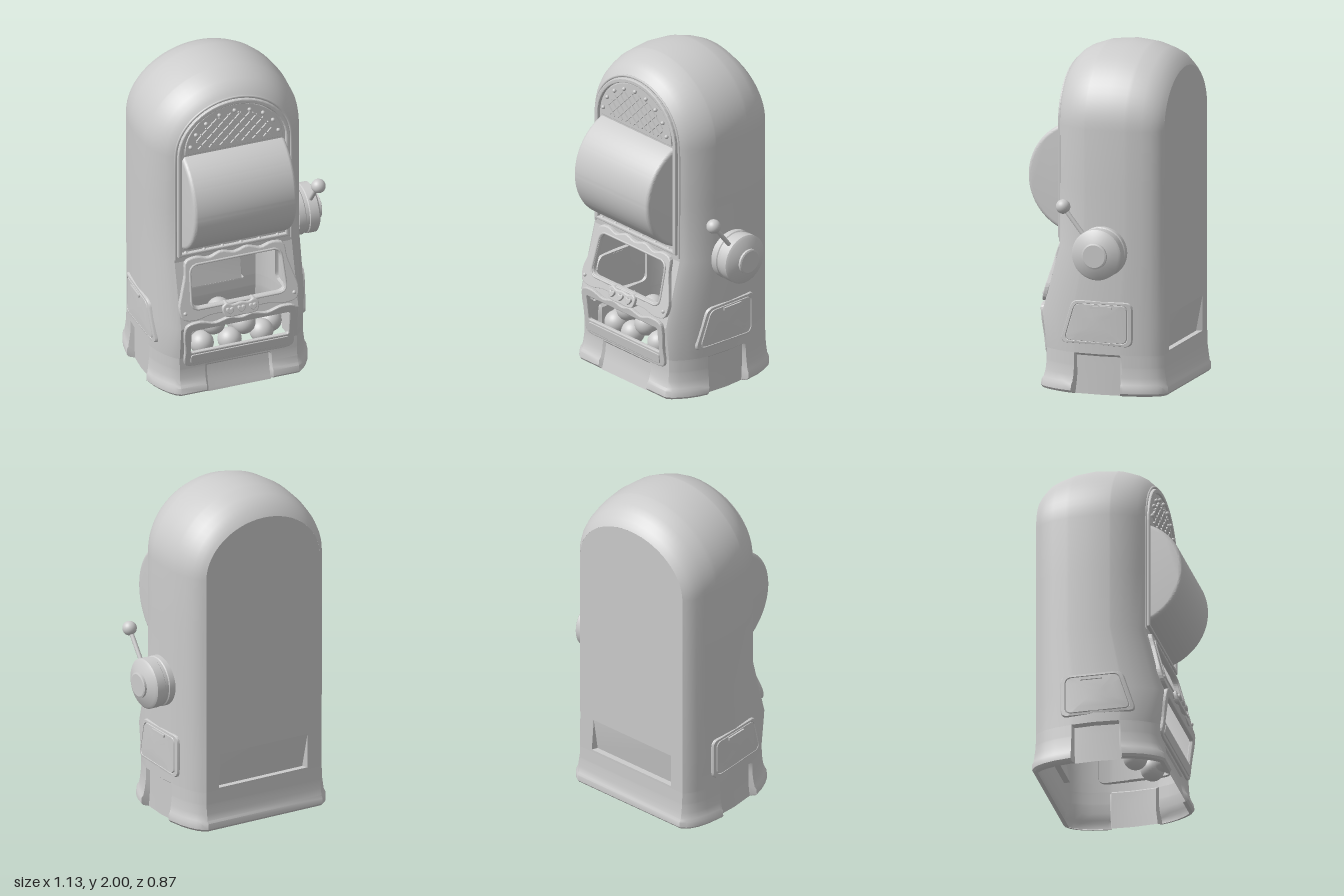
import * as THREE from 'three';
import { toCreasedNormals } from 'three/addons/utils/BufferGeometryUtils.js';

const CX = -0.067, ZB = -0.41, SPRING = 1.55;

// piecewise linear lookup
function lerpTable(table, t) {
  if (t <= table[0][0]) return table[0][1];
  for (let i = 1; i < table.length; i++) {
    const [a, va] = table[i - 1], [b, vb] = table[i];
    if (t <= b) return va + (vb - va) * (t - a) / (b - a);
  }
  return table[table.length - 1][1];
}
// half width and crown height of the cabinet from back (0) to front (1)
const WIDTH = [[0, .385], [.02, .4], [.05, .418], [.1, .437], [.18, .456], [.3, .47], [.32, .472], [.335, .473], [.5, .48],
  [.705, .47], [.72, .468], [.8, .453], [.875, .43], [.94, .402], [.98, .378], [1, .36]];
const CROWN = [[0, 1.86], [.02, 1.88], [.1, 1.935], [.25, 1.98], [.48, 2], [.72, 1.985], [.875, 1.95], [.95, 1.92], [1, 1.88]];
const FRONT = [[0, .325], [.1, .308], [.24, .31], [.45, .335], [.84, .23]];
const wall = s => lerpTable(WIDTH, s);
const zFront = y => lerpTable(FRONT, y);
const zAt = (s, y) => ZB + s * (zFront(y) - ZB);
const zSlope = y => .335 - (y - .45) * .269;
const zTray = y => .31 + (y - .24) * .119;

// surface through a grid of points
function grid(nu, nv, fn) {
  const pos = [], idx = [];
  for (let i = 0; i < nu; i++) for (let j = 0; j < nv; j++) pos.push(...fn(i, j));
  for (let i = 0; i < nu - 1; i++) for (let j = 0; j < nv - 1; j++) {
    const a = i * nv + j, b = a + nv;
    idx.push(a, b, a + 1, b, b + 1, a + 1);
  }
  const g = new THREE.BufferGeometry();
  g.setAttribute('position', new THREE.Float32BufferAttribute(pos, 3));
  g.setIndex(idx);
  return toCreasedNormals(g, .6);
}
// polygon with rounded corners
function rounded(pts, r) {
  const v = pts.map(p => new THREE.Vector2(...p)), n = v.length, s = new THREE.Shape();
  v.forEach((p, i) => {
    const toward = q => p.clone().add(q.clone().sub(p).setLength(r));
    const a = toward(v[(i + n - 1) % n]), b = toward(v[(i + 1) % n]);
    i ? s.lineTo(a.x, a.y) : s.moveTo(a.x, a.y);
    s.quadraticCurveTo(p.x, p.y, b.x, b.y);
  });
  s.closePath();
  return s;
}
const rect = (w, y0, y1, r) => rounded([[-w, y0], [w, y0], [w, y1], [-w, y1]], r);
// outline mirrored about x = 0 and smoothed
function wavy(half) {
  const pts = [...half, ...half.slice(1, -1).reverse().map(([x, y]) => [-x, y])];
  const c = new THREE.CatmullRomCurve3(pts.map(([x, y]) => new THREE.Vector3(x, y, 0)), true);
  return new THREE.Shape(c.getPoints(80).slice(0, -1).map(p => new THREE.Vector2(p.x, p.y)));
}
function archShape(w, ry, y0, spring = SPRING) {
  const s = new THREE.Shape();
  s.moveTo(-w, y0).lineTo(w, y0).lineTo(w, spring);
  for (let i = 1; i <= 24; i++) s.lineTo(w * Math.cos(Math.PI * i / 24), spring + ry * Math.sin(Math.PI * i / 24));
  s.closePath();
  return s;
}
function lean(g, zFn) {
  const p = g.attributes.position;
  for (let i = 0; i < p.count; i++) p.setZ(i, p.getZ(i) + zFn(p.getY(i)));
  g.computeVertexNormals();
  return g;
}
function plate(shape, depth, bevel = .006) {
  return new THREE.ExtrudeGeometry(shape, { depth: depth - bevel, bevelThickness: bevel, bevelSize: bevel,
    bevelOffset: -bevel, bevelSegments: 2, bevelEnabled: bevel > 0, curveSegments: 8 });
}
const withHole = (shape, ...holes) => { shape.holes.push(...holes); return shape; };

export function createModel() {
  const grey = new THREE.MeshStandardMaterial({ color: 0xcccccc, side: THREE.DoubleSide });
  grey.name = 'light grey';
  const model = new THREE.Group(), body = new THREE.Group();
  body.position.x = CX;
  model.add(body);
  const add = (name, geo, x = 0, y = 0, z = 0) => {
    const m = new THREE.Mesh(geo, grey);
    m.name = name;
    m.position.set(x, y, z);
    body.add(m);
    return m;
  };

  // cabinet skin: up one side, over the arch, down the other
  const path = [.24, .45, .84, 1.2].map(y => [1, y]);
  for (let i = 0; i <= 32; i++) path.push([Math.cos(Math.PI * i / 32), null, Math.sin(Math.PI * i / 32)]);
  path.push(...[1.2, .84, .45, .24].map(y => [-1, y]));
  add('cabinetSkin', grid(path.length, WIDTH.length, (i, j) => {
    const [c, y0, k] = path[i], s = WIDTH[j][0];
    const y = y0 ?? SPRING + (lerpTable(CROWN, s) - SPRING) * k;
    return [c * wall(s), y, zAt(s, y)];
  }));

  // skirt with flared foot and notches at the front and sides
  const loop = [];
  const side = WIDTH.map(([s, w]) => [w, s, s > .33 && s < .71 ? 'side' : '']);
  loop.push(...side);
  [[.205, ''], [.19, 'front'], [-.19, 'front'], [-.205, '']].forEach(([x, k]) => loop.push([x, 1, k]));
  loop.push(...side.slice().reverse().map(([x, s, k]) => [-x, s, k]));
  const flare = { '': [[0, -.01], [.006, .012], [.02, .024], [.055, .024], [.07, .015], [.15, .003], [.24, 0]],
    side: [[0, -.02], [.225, -.02], [.24, 0]], front: [[0, .008], [.16, -.008], [.17, 0]] };
  const rows = [.24, .225, .17, .16, .11, .07, .055, .02, .006, 0];
  add('skirt', grid(rows.length, loop.length + 1, (i, j) => {
    const n = loop.length, y = rows[i], [x, s, k] = loop[j % n];
    const a = loop[(j + n - 1) % n], b = loop[(j + 1) % n];
    const d = new THREE.Vector2(zAt(b[1], y) - zAt(a[1], y), a[0] - b[0]).normalize();
    const o = lerpTable(flare[k], y);
    return [x + d.x * o, y, zAt(s, y) + d.y * o];
  }));

  // back wall with a sloping pocket
  const B = { w: .3, y0: .14, y1: .46, d: .035 };
  const back = withHole(archShape(.385, .31, .24), rect(B.w, .25, B.y1, .001));
  add('backWall', new THREE.ShapeGeometry(back), 0, 0, ZB);
  add('pocketSlope', grid(2, 4, (i, j) => {
    const x = [-B.w, -B.w + .015, B.w - .015, B.w][j], deep = j % 3 ? B.d : 0;
    return [x, i ? B.y1 : .25, ZB + (i ? 0 : deep)];
  }));
  add('pocketLedge', new THREE.BoxGeometry(B.w * 2, .008, B.d), 0, .25, ZB + B.d / 2);

  // front wall in four leaning sections
  const windowHole = () => rounded([[-.285, .57], [.285, .57], [.272, .815], [-.272, .815]], .05);
  const trayHole = () => rect(.3, .28, .435, .012);
  add('lowerFront', lean(new THREE.ShapeGeometry(withHole(rect(.36, .24, .45, .0005), trayHole())), zTray));
  add('slopingFront', lean(new THREE.ShapeGeometry(withHole(rect(.36, .45, .84, .0005), windowHole())), zSlope));
  add('upperFront', new THREE.ShapeGeometry(archShape(.36, .33, .84)), 0, 0, .23);

  // arched trim and grille
  add('archTrim', plate(withHole(archShape(.345, .315, .88), archShape(.32, .287, .9)), .022), 0, 0, .228);
  const rim = [[-.355, .86]];
  for (let i = 0; i <= 16; i++) rim.push([-.355 * Math.cos(Math.PI * i / 16), SPRING + .325 * Math.sin(Math.PI * i / 16)]);
  rim.push([.355, .86]);
  const rimCurve = new THREE.CatmullRomCurve3(rim.map(([x, y]) => new THREE.Vector3(x, y, .23)));
  add('archBead', new THREE.TubeGeometry(rimCurve, 80, .008, 6));
  add('grillePlate', plate(archShape(.3, .265, 1.555, 1.57), .012, .003), 0, 0, .228);
  const inside = (x, y) => y > 1.58 && (x / .245) ** 2 + ((y - 1.57) / .215) ** 2 < 1;
  for (const dir of [1, -1]) for (let c = -.4; c <= .41; c += .067) {
    const hits = [];
    for (let t = 0; t <= .25; t += .004) if (inside(c + dir * (t - .1), 1.57 + t)) hits.push(t);
    if (hits.length < 5) continue;
    const t0 = hits[0], t1 = hits[hits.length - 1], m = (t0 + t1) / 2;
    const bar = add('grilleBar', new THREE.BoxGeometry(.007, (t1 - t0) * Math.SQRT2, .01), c + dir * (m - .1), 1.57 + m, .245);
    bar.rotation.z = -dir * Math.PI / 4;
  }
  const rivet = new THREE.SphereGeometry(.012, 12, 8);
  for (let i = 0; i < 9; i++) {
    const a = Math.PI * (.06 + .88 * i / 8);
    add('grilleRivet', rivet, .275 * Math.cos(a), 1.565 + .235 * Math.sin(a), .25);
  }
  for (let i = 0; i < 6; i++) add('lowerRivet', rivet, -.295 + i * .113, .895, .235);

  // bulging drum
  const drum = new THREE.Shape();
  drum.absarc(0, 0, .334, -1.19, 1.19, false);
  drum.closePath();
  const drumGeo = new THREE.ExtrudeGeometry(drum, { depth: .59, bevelThickness: .022, bevelSize: .022,
    bevelOffset: -.022, bevelSegments: 5, curveSegments: 40 });
  drumGeo.translate(0, 0, -.295).rotateY(-Math.PI / 2);
  add('drum', toCreasedNormals(drumGeo, .5), 0, 1.23, .106);

  // window frame with wavy outline
  const frame = wavy([[0, .85], [.08, .868], [.16, .845], [.23, .862], [.3, .845], [.315, .76], [.345, .66],
    [.366, .58], [.35, .515], [.27, .498], [.17, .515], [0, .505]]);
  add('windowFrame', lean(plate(withHole(frame, windowHole()), .025), zSlope));
  const lip = windowHole().getPoints(8).map(p => new THREE.Vector3(p.x * 1.03, .693 + (p.y - .693) * 1.06, 0));
  lip.forEach(p => { p.z = zSlope(p.y) + .026; });
  add('windowLip', new THREE.TubeGeometry(new THREE.CatmullRomCurve3(lip.slice(0, -1), true, 'catmullrom', .2), 100, .007, 6, true));
  for (const x of [-.335, .335]) add('frameScrew', rivet, x, .55, zSlope(.55) + .025);

  // button plate with three hearts
  const buttons = wavy([[0, .565], [.05, .56], [.085, .572], [.11, .55], [.1, .5], [.06, .49], [0, .492]]);
  add('buttonPlate', lean(plate(buttons, .045), zSlope));
  const heart = new THREE.Shape();
  heart.moveTo(0, -.02).bezierCurveTo(-.04, .005, -.02, .034, 0, .014).bezierCurveTo(.02, .034, .04, .005, 0, -.02);
  for (const x of [-.07, 0, .07]) add('heartButton', plate(heart, .02, .004), x, .528, zSlope(.528) + .04).rotation.x = -.26;

  // prize tray frame
  const tray = wavy([[0, .47], [.07, .485], [.16, .465], [.25, .49], [.33, .475], [.345, .42], [.335, .3], [.335, .21],
    [.31, .188], [.15, .186], [0, .186]]);
  add('trayFrame', lean(plate(withHole(tray, trayHole()), .02), zTray));
  add('trayPanel', lean(plate(rect(.3, .205, .265, .015), .008, .003), y => zTray(y) + .018));

  // balls
  const ball = new THREE.SphereGeometry(.07, 28, 18);
  [[-.178, .37, .2], [0, .345, .22], [-.257, .265, .22], [-.093, .265, .24], [.11, .265, .22], [.2, .26, .12],
    [-.32, .25, .1], [-.098, .375, .08], [-.18, .27, .04], [.03, .26, .06]]
    .forEach(([x, y, z]) => add('ball', ball, x - CX, y, z));

  // side hatches that follow the wall
  const hatch = rounded([[.2, .295], [-.245, .29], [-.245, .55], [.12, .55]], .045).getPoints(8);
  const steps = [[0, .014], [.3, .014], [.6, .014], [.84, .014], [.86, .008], [.88, .014], [.975, .014], [1, .006], [1, -.02]];
  for (const m of [1, -1]) {
    add('sideHatch', grid(steps.length, hatch.length, (i, j) => {
      const [r, o] = steps[i], z = -.03 + r * (hatch[j].x + .03), y = .42 + r * (hatch[j].y - .42);
      return [m * (wall((z - ZB) / (zFront(y) - ZB)) + o), y, z];
    }));
    add('hatchHandle', new THREE.BoxGeometry(.02, .016, .13), m * .487, .515, -.06);
  }

  // crank hub, rod and knob
  const hub = [[.148, .4], [.148, .44], [.142, .445], [.142, .465], [.148, .47], [.148, .522], [.135, .533], [.075, .553],
    [.075, .566], [.066, .57], [0, .57]].map(([r, x]) => new THREE.Vector2(r, x));
  const hubGeo = toCreasedNormals(new THREE.LatheGeometry(hub, 40).rotateZ(-Math.PI / 2), .4);
  add('crankHub', hubGeo, -CX, .843, -.067);
  const from = new THREE.Vector3(.49 - CX, .93, .005), to = new THREE.Vector3(.49 - CX, 1.108, .145);
  add('crankRod', new THREE.TubeGeometry(new THREE.LineCurve3(from, to), 1, .013, 12));
  add('crankKnob', new THREE.SphereGeometry(.042, 24, 16), to.x, to.y, to.z);

  return model;
}
